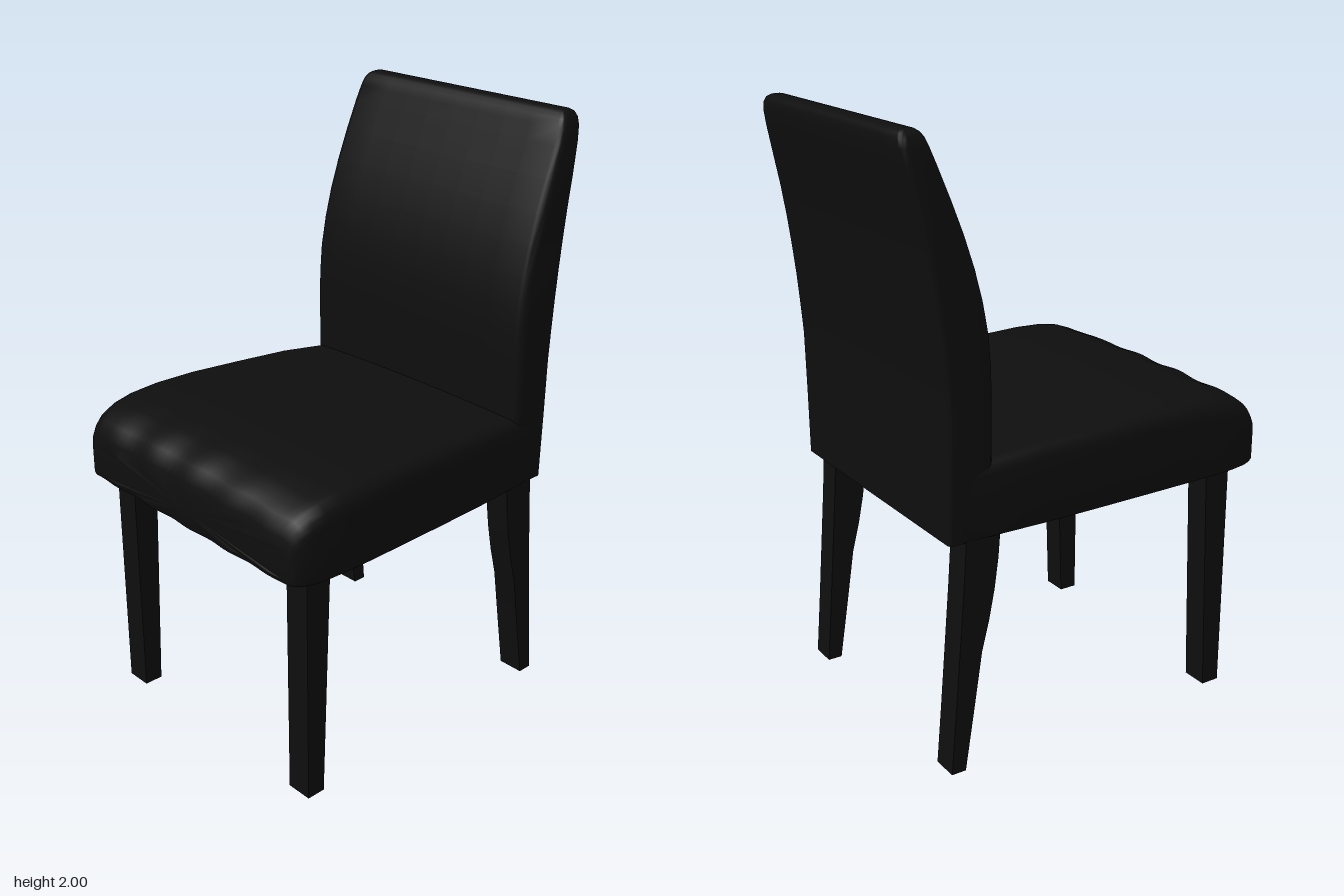
import * as THREE from 'three';
import { toCreasedNormals } from 'three/addons/utils/BufferGeometryUtils.js';

const material = new THREE.MeshStandardMaterial({ color: 0x0e0e0e });

// Rounded rectangle outline, counter-clockwise, with its long edges split into n pieces.
function outline(x0, x1, y0, y1, rLow, rHigh, n) {
  const points = [];
  const corner = (cx, cy, r, start) => {
    const steps = r > 0 ? 5 : 0;
    for (let i = 0; i <= steps; i++) {
      const a = start + (steps ? (i / steps) * Math.PI / 2 : 0);
      points.push([cx + r * Math.cos(a), cy + r * Math.sin(a)]);
    }
  };
  const edge = (xa, xb, y) => {
    for (let i = 1; i < n; i++) points.push([xa + (xb - xa) * i / n, y]);
  };
  corner(x1 - rHigh, y1 - rHigh, rHigh, 0);
  edge(x1 - rHigh, x0 + rHigh, y1);
  corner(x0 + rHigh, y1 - rHigh, rHigh, Math.PI / 2);
  corner(x0 + rLow, y0 + rLow, rLow, Math.PI);
  edge(x0 + rLow, x1 - rLow, y0);
  corner(x1 - rLow, y0 + rLow, rLow, Math.PI * 1.5);
  return points;
}

// Skin over sections [t, x0, x1, y0, y1, rLow, rHigh] stacked along z, with closed ends.
function loft(sections, n = 1, bend = null) {
  const position = [], index = [];
  let count = 0;
  for (const [t, ...rect] of sections) {
    const ring = outline(...rect, n);
    count = ring.length;
    for (const [x, y] of ring) position.push(x, y, t);
  }
  for (let s = 0; s < sections.length - 1; s++) {
    for (let i = 0; i < count; i++) {
      const a = s * count + i, b = s * count + (i + 1) % count;
      index.push(a, b, b + count, a, b + count, a + count);
    }
  }
  [0, sections.length - 1].forEach((s) => {
    const [t, x0, x1, y0, y1] = sections[s];
    const centre = position.length / 3;
    position.push((x0 + x1) / 2, (y0 + y1) / 2, t);
    for (let i = 0; i < count; i++) {
      const a = s * count + i, b = s * count + (i + 1) % count;
      if (s === 0) index.push(centre, b, a);
      else index.push(centre, a, b);
    }
  });
  const geometry = new THREE.BufferGeometry();
  geometry.setAttribute('position', new THREE.Float32BufferAttribute(position, 3));
  geometry.setIndex(index);
  if (bend) {
    const p = geometry.attributes.position, v = new THREE.Vector3();
    for (let i = 0; i < p.count; i++) {
      bend(v.fromBufferAttribute(p, i));
      p.setXYZ(i, v.x, v.y, v.z);
    }
  }
  return geometry;
}

// Upright skin: sections are [y, x0, x1, zFront, zBack, rFront, rBack].
function uprightLoft(sections, n) {
  const turned = sections.map(([y, x0, x1, zf, zb, rf = 0, rb = 0]) => [y, x0, x1, -zf, -zb, rf, rb]);
  return loft(turned, n).rotateX(-Math.PI / 2);
}

function addPart(group, name, geometry, crease = 0.7) {
  const mesh = new THREE.Mesh(toCreasedNormals(geometry, crease), material);
  mesh.name = name;
  group.add(mesh);
}

export function createModel() {
  const chair = new THREE.Group();
  chair.name = 'diningChair';

  // Padded seat: z, half width, bottom, top, lower and upper corner radius
  const seat = [
    [-0.5, 0.468, 0.776, 1.0, 0.01, 0.035],
    [-0.38, 0.486, 0.78, 1.015, 0.01, 0.04],
    [-0.2, 0.504, 0.786, 1.038, 0.012, 0.045],
    [0, 0.519, 0.793, 1.052, 0.015, 0.05],
    [0.2, 0.53, 0.8, 1.064, 0.015, 0.05],
    [0.35, 0.537, 0.805, 1.067, 0.015, 0.055],
    [0.45, 0.539, 0.808, 1.063, 0.015, 0.06],
    [0.52, 0.537, 0.81, 1.05, 0.015, 0.06],
    [0.57, 0.531, 0.812, 1.031, 0.015, 0.06],
    [0.6, 0.521, 0.813, 1.01, 0.015, 0.06],
    [0.618, 0.51, 0.814, 0.987, 0.015, 0.055],
    [0.628, 0.498, 0.816, 0.96, 0.015, 0.05],
    [0.634, 0.482, 0.83, 0.925, 0.015, 0.04],
  ].map(([z, w, y0, y1, rl, rh]) => [z, -w, w, y0, y1, rl, rh]);
  // Crowned top and a soft, slightly rippled front
  const upholster = (v) => {
    const front = THREE.MathUtils.smoothstep(v.z, 0.35, 0.62);
    if (v.y > 0.9) v.y += 0.013 * (1 - (v.x / 0.54) ** 2) + 0.003 * front * Math.sin(v.x * 27);
    v.z += front * (0.003 * Math.sin(v.x * 33 + 1) + 0.008 * v.x);
  };
  addPart(chair, 'seat', loft(seat, 32, upholster));

  // Curved backrest: y, half width, front z, back z, front and back corner radius
  const back = [
    [0.775, 0.47, -0.37, -0.52, 0.02, 0.015],
    [1.0, 0.478, -0.368, -0.52, 0.025, 0.02],
    [1.2, 0.48, -0.365, -0.522, 0.03, 0.02],
    [1.3, 0.479, -0.366, -0.53, 0.03, 0.02],
    [1.4, 0.478, -0.373, -0.539, 0.03, 0.02],
    [1.5, 0.476, -0.39, -0.551, 0.03, 0.02],
    [1.6, 0.474, -0.415, -0.565, 0.03, 0.02],
    [1.7, 0.471, -0.447, -0.582, 0.03, 0.02],
    [1.8, 0.467, -0.485, -0.603, 0.028, 0.02],
    [1.9, 0.46, -0.525, -0.625, 0.025, 0.02],
    [1.95, 0.453, -0.545, -0.635, 0.022, 0.02],
    [1.975, 0.445, -0.555, -0.636, 0.02, 0.02],
    [1.99, 0.434, -0.566, -0.63, 0.016, 0.016],
    [1.998, 0.42, -0.578, -0.618, 0.01, 0.01],
    [2.0, 0.41, -0.588, -0.608, 0.005, 0.005],
  ].map(([y, w, ...rest]) => [y, -w, w, ...rest]);
  addPart(chair, 'backrest', uprightLoft(back, 8), 0.85);

  // Square legs: the front pair tapers, the rear pair sweeps backwards
  const frontLeg = [[0, 0.55, 0.485], [0.83, 0.55, 0.455]];
  const rearLeg = [
    [0, -0.475, -0.525], [0.2, -0.443, -0.508], [0.4, -0.412, -0.492],
    [0.5, -0.386, -0.484], [0.6, -0.366, -0.476], [0.7, -0.352, -0.469], [0.82, -0.342, -0.462],
  ];
  for (const [side, label] of [[1, 'Left'], [-1, 'Right']]) {
    const x = 0.427 * side;
    const square = ([y, zf, zb]) => [y, x - 0.045, x + 0.045, zf, zb];
    addPart(chair, 'front' + label + 'Leg', uprightLoft(frontLeg.map(square), 1));
    addPart(chair, 'rear' + label + 'Leg', uprightLoft(rearLeg.map(square), 1));
  }
  return chair;
}
